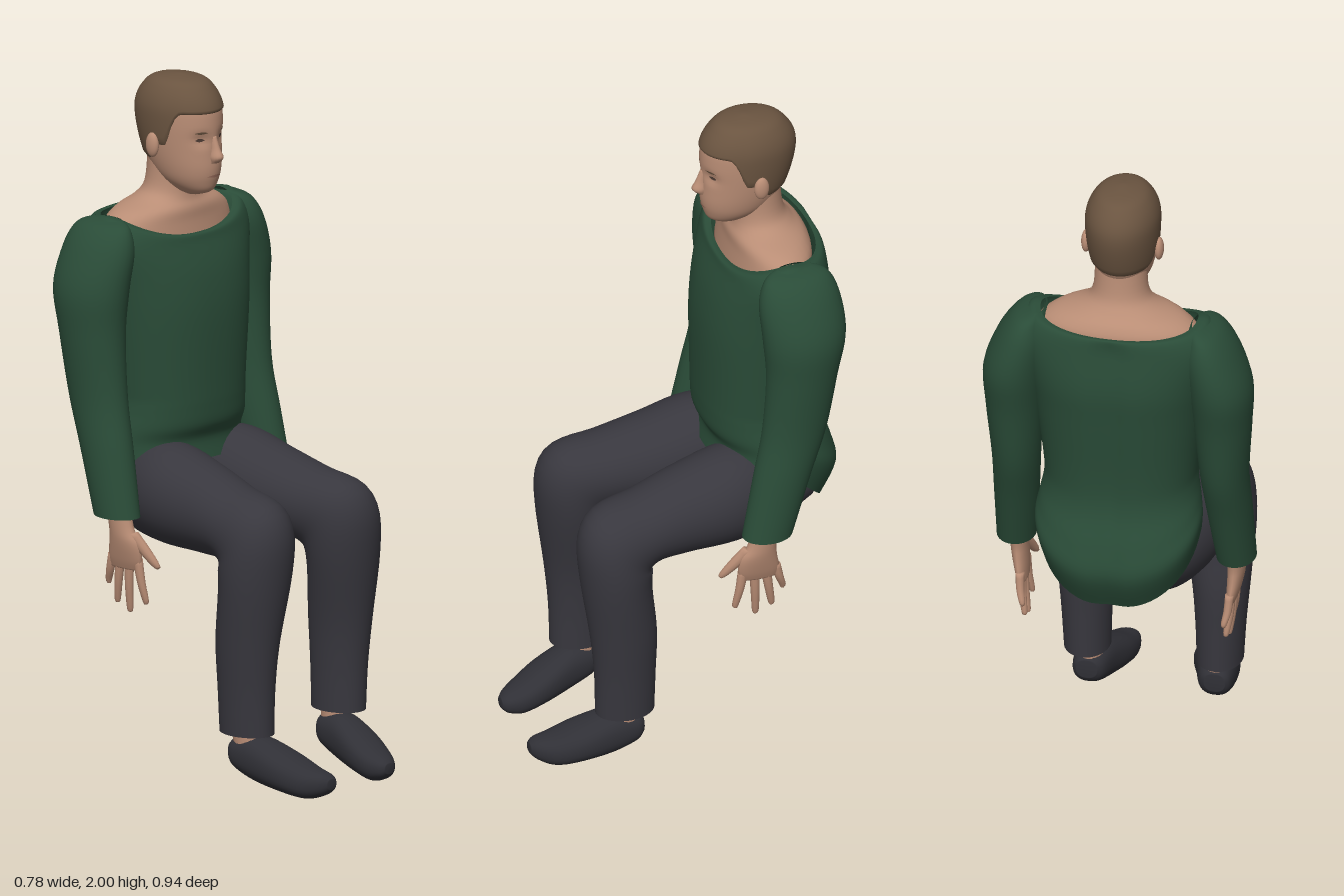
import * as THREE from 'three';
import { mergeVertices } from 'three/addons/utils/BufferGeometryUtils.js';

const { clamp, lerp, smoothstep } = THREE.MathUtils;
const flat = (name, color) => {
  const m = new THREE.MeshStandardMaterial({ color, side: THREE.DoubleSide });
  m.name = name;
  return m;
};

// Smooth interpolation through rows of numbers; t is a row index
function sample(rows, t) {
  const n = rows.length - 1;
  const i = clamp(Math.floor(t), 0, n - 1), f = t - i;
  const [a, b, c, d] = [i - 1, i, i + 1, i + 2].map(k => rows[clamp(k, 0, n)]);
  return b.map((_, k) => 0.5 * (2 * b[k] + (c[k] - a[k]) * f
    + (2 * a[k] - 5 * b[k] + 4 * c[k] - d[k]) * f * f
    + (3 * b[k] - a[k] - 3 * c[k] + d[k]) * f * f * f));
}

// Surface from fn(u, v) -> [x, y, z]; u runs round the part, v along it
function surface(name, material, nu, nv, fn) {
  const pos = [], index = [];
  for (let j = 0; j <= nv; j++) {
    for (let i = 0; i <= nu; i++) pos.push(...fn(i / nu, j / nv));
  }
  for (let j = 0; j < nv; j++) {
    for (let i = 0; i < nu; i++) {
      const a = j * (nu + 1) + i, c = a + nu + 1;
      index.push(a, a + 1, c, a + 1, c + 1, c);
    }
  }
  let geo = new THREE.BufferGeometry();
  geo.setAttribute('position', new THREE.Float32BufferAttribute(pos, 3));
  geo.setIndex(index);
  geo = mergeVertices(geo, 1e-5);
  geo.computeVertexNormals();
  const mesh = new THREE.Mesh(geo, material);
  mesh.name = name;
  return mesh;
}

// Oval rings [x, y, z, halfWidth, halfDepth, tilt in degrees]; cap closes the ends
function loft(name, material, rings, { cap = true, power = 2, nu = 32, bend, steps = 5 } = {}) {
  const n = (rings.length - 1) * steps;
  const rows = rings.map(r => [...r, 0].slice(0, 6));
  return surface(name, material, nu, cap ? n + 2 : n, (u, v) => {
    const k = cap ? Math.round(v * (n + 2)) - 1 : v * n;
    const s = k < 0 || k > n ? 0 : 1;
    const t = clamp(k, 0, n) / steps;
    const [x, y, z, rx, rz, tilt] = sample(rows, t);
    const a = (u % 1) * Math.PI * 2, T = tilt * Math.PI / 180;
    const round = q => Math.sign(q) * Math.abs(q) ** (2 / power);
    const d = s * rz * round(Math.sin(a));
    const p = [x + s * rx * round(Math.cos(a)), y - d * Math.sin(T), z + d * Math.cos(T)];
    return bend ? bend(p, a, t) : p;
  });
}

function ball(name, material, at, radii) {
  const mesh = new THREE.Mesh(new THREE.SphereGeometry(1, 28, 18), material);
  mesh.name = name;
  mesh.position.set(...at);
  mesh.scale.set(...radii);
  return mesh;
}

// Head rows: height, half width, front z, back z
const HEAD = [
  [1.655, 0.02, -0.15, -0.20], [1.67, 0.045, -0.112, -0.24], [1.70, 0.07, -0.097, -0.29],
  [1.74, 0.085, -0.09, -0.325], [1.80, 0.096, -0.092, -0.35], [1.87, 0.102, -0.09, -0.367],
  [1.92, 0.1, -0.096, -0.365], [1.96, 0.084, -0.12, -0.342], [1.985, 0.056, -0.155, -0.305],
  [1.995, 0, -0.225, -0.225],
];
function headPoint(t, a, grow = 0) {
  const [y, w, f, b] = sample(HEAD, t);
  const c = Math.cos(a), s = Math.sin(a);
  const g = t > 8.999 ? 0 : grow;
  const x = (Math.max(w, 0) + g) * c;
  let z = (f + b) / 2 + ((f - b) / 2 + g) * s;
  // Eye sockets
  if (s > 0) z -= 0.011 * Math.exp(-(((Math.abs(x) - 0.04) / 0.022) ** 2) - ((y - 1.827) / 0.018) ** 2);
  return [x, y + grow * smoothstep(t, 6, 9), z];
}

// Thin lens-shaped plate lying on the face
function facePlate(name, material, t, h, a0, a1) {
  return surface(name, material, 10, 2, (u, v) =>
    headPoint(t + h * Math.sin(Math.PI * u) * (1 - 2 * v), lerp(a0, a1, u) * Math.PI / 180, 0.002));
}

export function createModel() {
  const skin = flat('skin', 0xb98d75), hair = flat('hair', 0x6a5440);
  const green = flat('green knit', 0x2a4c38), trouser = flat('dark trousers', 0x38373e);
  const leather = flat('shoe leather', 0x303036), eyeDark = flat('eye shade', 0x4e3c34);
  const lip = flat('lips', 0x9c6f5e);
  const model = new THREE.Group();
  model.name = 'seatedMan';

  // Head, hair and face
  const head = new THREE.Group();
  head.name = 'head';
  const hairline = s => s > 0
    ? 4.1 + 1.55 * smoothstep(s, 0.15, 0.6)
    : 4.1 - 0.8 * smoothstep(-s, 0.05, 0.5);
  head.add(
    surface('face', skin, 64, 60, (u, v) => headPoint(9 * (1 - v), (u % 1) * Math.PI * 2)),
    surface('hairCap', hair, 64, 30, (u, v) => {
      const a = (u % 1) * Math.PI * 2;
      return headPoint(lerp(9, hairline(Math.sin(a)), v), a, v === 1 ? 0 : 0.005);
    }),
    loft('nose', skin, [[0, 1.835, -0.1, 0.009, 0.011], [0, 1.80, -0.092, 0.012, 0.017],
      [0, 1.775, -0.087, 0.018, 0.024], [0, 1.758, -0.092, 0.014, 0.012]], { nu: 16 }),
    facePlate('mouth', lip, 2.5, 0.1, 71, 109),
  );
  for (const s of [1, -1]) {
    const mid = 90 - 25 * s;
    head.add(
      facePlate('eye', eyeDark, 4.38, 0.07, mid - 8, mid + 8),
      facePlate('eyebrow', hair, 4.68, 0.05, mid - 11, mid + 11),
      ball('ear', skin, [s * 0.106, 1.805, -0.237], [0.014, 0.036, 0.022]),
    );
  }
  model.add(head);

  // Neck spreading into the upper chest
  model.add(loft('neck', skin, [[0, 1.77, -0.255, 0.075, 0.07], [0, 1.68, -0.26, 0.08, 0.075],
    [0, 1.64, -0.27, 0.11, 0.088], [0, 1.61, -0.28, 0.19, 0.108],
    [0, 1.57, -0.285, 0.235, 0.115], [0, 1.5, -0.27, 0.24, 0.11]]));

  // Sweater body: scooped neck, slanting hem, groove down the back
  const bodyRings = [[0, 1.61, -0.28, 0.228, 0.13], [0, 1.605, -0.28, 0.262, 0.148],
    [0, 1.54, -0.28, 0.29, 0.158], [0, 1.42, -0.272, 0.265, 0.18],
    [0, 1.30, -0.26, 0.245, 0.182], [0, 1.1, -0.25, 0.222, 0.172],
    [0, 1.0, -0.253, 0.222, 0.174], [0, 0.9, -0.272, 0.232, 0.188],
    [0, 0.81, -0.29, 0.24, 0.185], [0, 0.70, -0.262, 0.232, 0.165]];
  model.add(loft('sweaterBody', green, bodyRings, {
    cap: false, power: 2.25, nu: 64,
    bend: ([x, y, z], a, t) => {
      const s = Math.sin(a), front = Math.max(s, 0), back = Math.max(-s, 0);
      y -= (0.065 * front ** 1.5 + 0.02 * back) * (1 - smoothstep(t, 0.6, 3));
      const hem = 0.88 + 0.01 * front - 0.18 * back ** 1.2;
      if (y < 1.1) y = 1.1 - (1.1 - y) * (1.1 - hem) / 0.4;
      z += 0.016 * back * Math.exp(-((x / 0.045) ** 2)) * smoothstep(t, 0.5, 2);
      return [x, y, z];
    },
  }));

  // Trouser seat
  model.add(ball('trouserSeat', trouser, [0, 0.8, -0.28], [0.21, 0.13, 0.15]));

  for (const s of [1, -1]) {
    const side = s > 0 ? 'left' : 'right';
    const part = (name, mat, rings, opts) =>
      loft(side + name, mat, rings.map(([x, ...r]) => [s * x, ...r]), opts);

    // Sleeve, from shoulder to cuff
    model.add(part('Sleeve', green, [[0.235, 1.605, -0.29, 0.02, 0.05],
      [0.255, 1.585, -0.29, 0.05, 0.095], [0.272, 1.52, -0.292, 0.08, 0.12],
      [0.298, 1.41, -0.297, 0.092, 0.122], [0.303, 1.28, -0.288, 0.083, 0.105],
      [0.303, 1.1, -0.265, 0.07, 0.095], [0.31, 0.95, -0.225, 0.065, 0.085],
      [0.32, 0.765, -0.177, 0.057, 0.074]], { cap: false }));

    // Hand with spread fingers and thumb
    const hand = new THREE.Group();
    hand.name = side + 'Hand';
    hand.add(part('Palm', skin, [[0.315, 0.86, -0.19, 0.03, 0.04], [0.316, 0.74, -0.165, 0.026, 0.042],
      [0.314, 0.69, -0.152, 0.024, 0.056], [0.308, 0.64, -0.155, 0.019, 0.062],
      [0.303, 0.61, -0.16, 0.014, 0.056]], { nu: 20 }));
    const fingers = [[-0.11, -0.09, 0.512], [-0.143, -0.15, 0.48], [-0.176, -0.198, 0.5], [-0.206, -0.232, 0.55]];
    for (const [z0, z1, tip] of fingers) {
      hand.add(part('Finger', skin, [[0.305, 0.645, z0, 0.013, 0.016],
        [0.302, (0.645 + tip) / 2, (z0 + z1) / 2, 0.012, 0.013],
        [0.294, tip + 0.012, z1, 0.009, 0.01], [0.293, tip, z1, 0.005, 0.005]], { nu: 10, steps: 3 }));
    }
    hand.add(part('Thumb', skin, [[0.312, 0.715, -0.125, 0.016, 0.022, -30],
      [0.302, 0.672, -0.085, 0.015, 0.017, -45], [0.292, 0.637, -0.056, 0.011, 0.012, -40],
      [0.288, 0.624, -0.045, 0.006, 0.006, -40]], { nu: 10, steps: 3 }));
    model.add(hand);

    // Trouser leg: thigh forward, bent knee, shin down
    model.add(part('TrouserLeg', trouser, [[0.1, 0.8, -0.37, 0.08, 0.07, -90],
      [0.118, 0.805, -0.25, 0.115, 0.132, -90], [0.137, 0.805, -0.12, 0.135, 0.147, -90],
      [0.145, 0.785, 0.03, 0.125, 0.128, -90], [0.16, 0.765, 0.14, 0.115, 0.112, -78],
      [0.175, 0.73, 0.222, 0.112, 0.132, -45], [0.185, 0.63, 0.235, 0.108, 0.106, -8],
      [0.195, 0.44, 0.215, 0.085, 0.098], [0.195, 0.3, 0.21, 0.073, 0.09],
      [0.193, 0.17, 0.21, 0.067, 0.087]], { cap: false, nu: 36 }));

    // Ankle and shoe, toe turned inward
    model.add(part('Ankle', skin, [[0.19, 0.3, 0.205, 0.045, 0.05], [0.186, 0.18, 0.205, 0.04, 0.046],
      [0.184, 0.11, 0.21, 0.04, 0.046]], { nu: 20 }));
    model.add(part('Shoe', leather, [[0.186, 0.11, 0.157, 0.03, 0.028, -90],
      [0.183, 0.105, 0.18, 0.048, 0.048, -90], [0.175, 0.095, 0.25, 0.06, 0.066, -90],
      [0.157, 0.068, 0.34, 0.068, 0.058, -90], [0.14, 0.046, 0.41, 0.058, 0.046, -90],
      [0.126, 0.045, 0.455, 0.038, 0.031, -90], [0.121, 0.047, 0.474, 0.018, 0.015, -90]],
    { power: 2.3 }));
  }
  return model;
}
